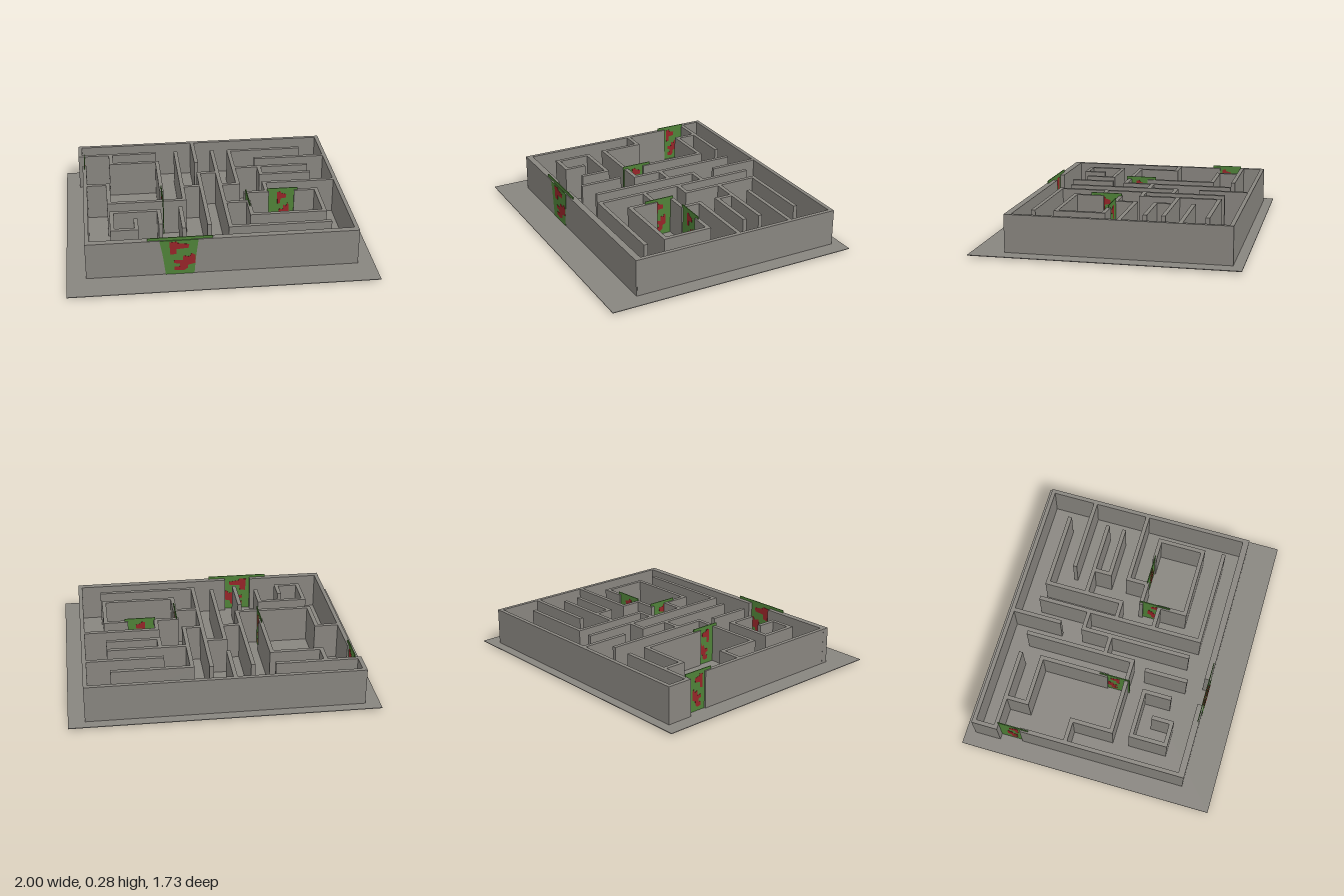
import * as THREE from 'three';

const BASE = 0.015, TOP = 0.262, THICK = 0.027;

const stone = new THREE.MeshStandardMaterial({ color: 0x88857f });
stone.name = 'stone grey';
const green = new THREE.MeshStandardMaterial({ color: 0x4f8238 });
green.name = 'banner green';
const red = new THREE.MeshStandardMaterial({ color: 0x962428 });
red.name = 'paint red';

function box(parent, name, material, size, pos) {
  const mesh = new THREE.Mesh(new THREE.BoxGeometry(...size), material);
  mesh.position.set(...pos);
  mesh.name = name;
  parent.add(mesh);
  return mesh;
}

// Wall run along a centreline of [x, z] points with right-angled turns
function wallRun(parent, name, points) {
  const run = new THREE.Group();
  run.name = name;
  const h = TOP - BASE;
  for (let i = 0; i < points.length - 1; i++) {
    const [x0, z0] = points[i], [x1, z1] = points[i + 1];
    box(run, name + 'Segment', stone,
      [Math.abs(x1 - x0) + THICK, h, Math.abs(z1 - z0) + THICK],
      [(x0 + x1) / 2, BASE + h / 2, (z0 + z1) / 2]);
  }
  parent.add(run);
}

// Flat plate cut from an outline, centred on its own z
function plate(points, depth) {
  const shape = new THREE.Shape(points.map(([x, y]) => new THREE.Vector2(x, y)));
  const geo = new THREE.ExtrudeGeometry(shape, { depth, bevelEnabled: false });
  return geo.translate(0, 0, -depth / 2);
}

// Abstract paint blots, in units of the doorway width (x) and height (y)
const BLOTS = [
  [[-0.36, 0.25], [-0.33, 0.16], [-0.13, 0.165], [-0.12, 0.2], [0.27, 0.205], [0.3, 0.232], [-0.08, 0.242], [-0.1, 0.255]],
  [[-0.2, 0.045], [0.1, 0.04], [0.24, 0.055], [0.26, 0.08], [0.5, 0.09], [0.5, 0.15], [0.38, 0.165],
    [0.3, 0.14], [0.1, 0.15], [0.08, 0.115], [-0.2, 0.12], [-0.22, 0.098], [-0.02, 0.09], [-0.02, 0.07], [-0.2, 0.07]],
];

function blots(parent, width, z, depth) {
  BLOTS.forEach((pts) => {
    const mesh = new THREE.Mesh(plate(pts.map(([x, y]) => [x * width, y]), depth), red);
    mesh.position.z = z;
    mesh.name = 'paintBlot';
    parent.add(mesh);
  });
}

// Doorway banner: thin sheet that runs into the walls beside the gap
function banner(parent, name, width, x, z, turned) {
  const g = new THREE.Group();
  g.name = name;
  box(g, 'bannerSheet', green, [width, 0.28, 0.006], [0, 0.14, 0]);
  blots(g, width * 0.46, 0, 0.009);
  g.position.set(x, 0, z);
  if (turned) g.rotation.y = Math.PI / 2;
  parent.add(g);
  return g;
}

export function createModel() {
  const model = new THREE.Group();
  model.name = 'maze';

  // Ground slab
  box(model, 'ground', stone, [2, 0.004, 1.725], [0, BASE - 0.002, -0.0025]);

  // Enclosing walls
  wallRun(model, 'outerWall', [[-0.355, -0.636], [-0.89, -0.636], [-0.89, -0.786], [0.88, -0.786], [0.88, 0.63]]);
  wallRun(model, 'leftWall', [[-0.861, -0.46], [-0.861, 0.63]]);
  const midY = (BASE + TOP) / 2, h = TOP - BASE;
  box(model, 'frontWallWest', stone, [0.511, h, 0.043], [-0.6195, midY, 0.6285]);
  box(model, 'frontWallEast', stone, [1.073, h, 0.043], [0.3565, midY, 0.6285]);

  // Inner walls, west half
  const west = [
    [[-0.671, -0.636], [-0.671, -0.487], [-0.34, -0.487], [-0.34, -0.037]],
    [[-0.861, -0.166], [-0.703, -0.166], [-0.703, 0.107], [-0.195, 0.107], [-0.195, -0.626]],
    [[-0.377, 0.417], [-0.377, 0.241], [-0.693, 0.241], [-0.693, 0.476], [-0.537, 0.476], [-0.537, 0.353]],
    [[-0.23, 0.219], [-0.23, 0.487]],
    [[-0.061, -0.786], [-0.061, -0.454]],
    [[-0.195, -0.086], [-0.061, -0.086]],
  ];
  // Inner walls, east half
  const east = [
    [[0.072, -0.62], [0.072, 0.503], [0.725, 0.503]],
    [[0.072, -0.278], [-0.061, -0.278], [-0.061, 0.455]],
    [[0.072, -0.086], [0.195, -0.086], [0.195, -0.615], [0.704, -0.615]],
    [[0.195, -0.337], [0.714, -0.337]],
    [[0.377, -0.337], [0.377, -0.219], [0.714, -0.219]],
    [[0.377, -0.471], [0.88, -0.471]],
    [[0.88, -0.086], [0.377, -0.086], [0.377, 0.048], [0.232, 0.048]],
    [[0.58, 0.048], [0.719, 0.048], [0.719, 0.358], [0.233, 0.358], [0.233, 0.176], [0.072, 0.176]],
  ];
  west.forEach((p) => wallRun(model, 'westInnerWall', p));
  east.forEach((p) => wallRun(model, 'eastInnerWall', p));

  // Banners across the gaps
  banner(model, 'leftBanner', 0.21, -0.861, -0.525, true);
  banner(model, 'westBanner', 0.21, -0.34, 0.025, true);
  banner(model, 'eastBanner', 0.21, 0.233, 0.145, true);
  banner(model, 'roomBanner', 0.21, 0.485, 0.048, false);

  // Entrance banner, with a tapered face lapping over the front wall
  const entrance = banner(model, 'entranceBanner', 0.42, -0.27, 0.64, false);
  const face = new THREE.Mesh(plate([[-0.095, BASE], [0.09, BASE], [0.1, 0.13], [0.118, TOP],
    [-0.132, TOP], [-0.113, 0.16]], 0.006), green);
  face.position.z = 0.01;
  face.name = 'entranceFace';
  entrance.add(face);
  blots(entrance, 0.193, 0.0105, 0.009);

  return model;
}
